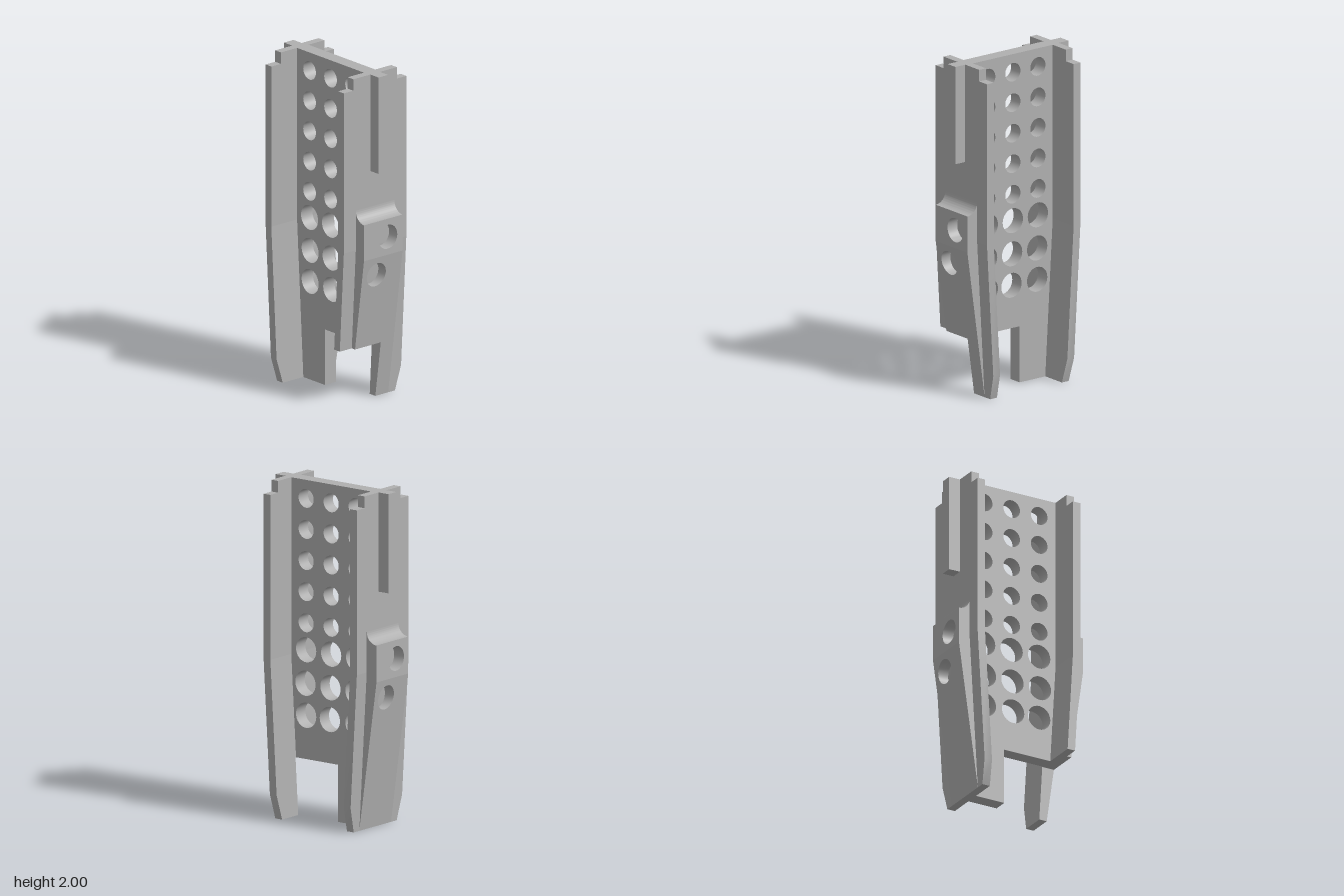
import * as THREE from 'three';
import { toCreasedNormals } from 'three/addons/utils/BufferGeometryUtils.js';

const BEND = 0.95;   // height where the flanges start leaning inwards
const PAD_BEND = 0.9; // height where the pads start tapering

const grey = new THREE.MeshStandardMaterial({ color: 0xb0b0b0 });
grey.name = 'grey';

function outline(points, holes = []) {
  const shape = new THREE.Shape(points.map(([x, y]) => new THREE.Vector2(x, y)));
  for (const [x, y, r] of holes) {
    shape.holes.push(new THREE.Path().absarc(x, y, r, 0, Math.PI * 2, true));
  }
  return shape;
}

function extrude(shape, depth) {
  return new THREE.ExtrudeGeometry(shape, { depth, bevelEnabled: false, curveSegments: 16 });
}

function add(group, name, geometry) {
  const mesh = new THREE.Mesh(toCreasedNormals(geometry, 0.5), grey);
  mesh.name = name;
  group.add(mesh);
}

// Side plate drawn in (-z, y); its thickness runs from inner(y) to outer(y) along x
function sidePlate(shape, inner, outer) {
  const geometry = extrude(shape, 1).rotateY(Math.PI / 2);
  const p = geometry.attributes.position;
  for (let i = 0; i < p.count; i++) {
    const y = p.getY(i);
    p.setX(i, THREE.MathUtils.lerp(inner(y), outer(y), p.getX(i)));
  }
  geometry.computeVertexNormals();
  return geometry;
}

const flangeInner = (y) => 0.24 + 0.055 * Math.min(1, y / BEND);
const flangeOuter = (y) => flangeInner(y) + 0.05;
const padOuter = (y) => 0.29 + 0.127 * Math.min(1, y / PAD_BEND);

// One flange with its rib and pad, on the +x side; notched = front foot cut short
function createSide(name, notched) {
  const side = new THREE.Group();
  side.name = name;

  // Flange, stepped at the top and leaning inwards below the bend
  add(side, 'upperFlange', sidePlate(outline([
    [-0.24, BEND], [0.24, BEND], [0.24, 1.93], [0.167, 1.93],
    [0.167, 2], [-0.167, 2], [-0.167, 1.93], [-0.24, 1.93],
  ]), flangeInner, flangeOuter));
  const foot = notched
    ? [[-0.24, 0.34], [0.05, 0.34], [0.05, 0]]
    : [[-0.24, 0.15], [-0.2, 0]];
  add(side, 'lowerFlange', sidePlate(outline([
    [-0.24, BEND], ...foot, [0.2, 0], [0.24, 0.15], [0.24, BEND],
  ]), flangeInner, flangeOuter));

  // Guide rib
  const rib = new THREE.BoxGeometry(0.082, 0.59, 0.073).translate(0.376, 1.705, 0);
  add(side, 'guideRib', rib);

  // Pad with two blind round recesses
  add(side, 'upperPad', sidePlate(outline([
    [-0.148, PAD_BEND], [0.148, PAD_BEND], [0.148, 1.12], [-0.148, 1.12],
  ], [[0.035, 1.01, 0.073]]), () => 0.343, padOuter));
  const padFoot = notched
    ? [[-0.148, 0.34], [0.05, 0.34], [0.05, 0]]
    : [[-0.148, 0]];
  add(side, 'lowerPad', sidePlate(outline([
    [-0.148, PAD_BEND], ...padFoot, [0.148, 0], [0.148, PAD_BEND],
  ], [[-0.04, 0.79, 0.073]]), flangeOuter, padOuter));

  // Concave fillet above the pad
  const fillet = new THREE.Shape();
  fillet.moveTo(0.343, 1.12);
  fillet.lineTo(0.417, 1.12);
  fillet.absarc(0.417, 1.192, 0.072, -Math.PI / 2, -Math.PI, true);
  fillet.lineTo(0.343, 1.192);
  add(side, 'padFillet', extrude(fillet, 0.296).translate(0, 0, -0.148));
  return side;
}

export function createModel() {
  const model = new THREE.Group();
  model.name = 'perforatedFrame';

  // Web: five rows of small holes over three rows of large ones
  const holes = [];
  for (const y of [1.89, 1.705, 1.52, 1.335, 1.15]) {
    for (const x of [-0.185, 0, 0.185]) holes.push([x, y, 0.056]);
  }
  const largeRows = [
    [0.99, [-0.185, 0, 0.185]],
    [0.79, [-0.18, 0.005, 0.19]],
    [0.6, [-0.18, 0.01, 0.185]],
  ];
  for (const [y, xs] of largeRows) {
    for (const x of xs) holes.push([x, y, 0.075]);
  }
  const web = outline([
    [-0.3, 2], [-0.3, BEND], [-0.25, 0], [-0.05, 0], [-0.05, 0.34],
    [0.265, 0.34], [0.3, BEND], [0.3, 2],
  ], holes);
  add(model, 'web', extrude(web, 0.087).translate(0, 0, -0.045));

  // The right side is the left one turned half round, with a full foot
  model.add(createSide('leftSide', true));
  const right = createSide('rightSide', false);
  right.rotation.y = Math.PI;
  model.add(right);
  return model;
}
